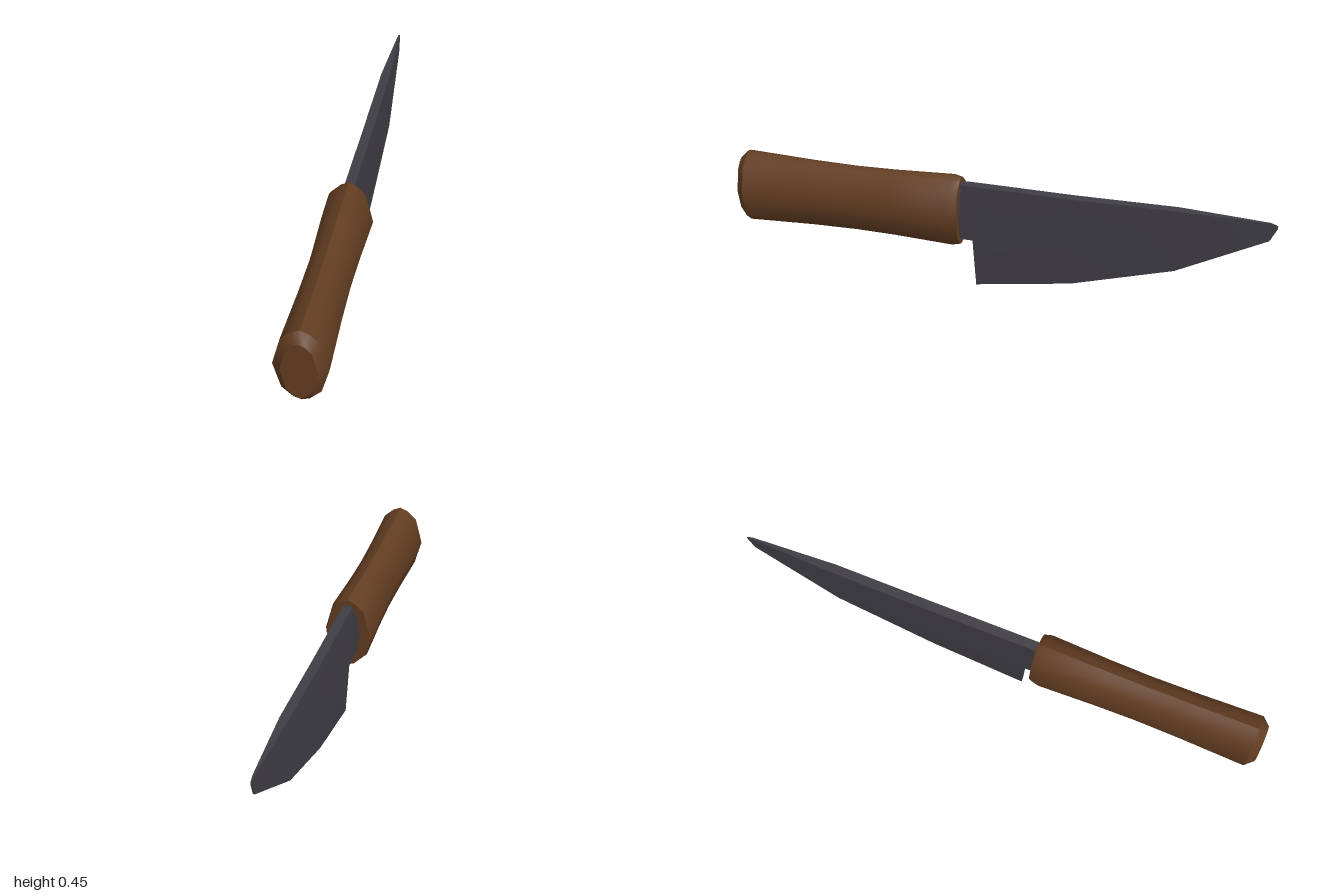
import * as THREE from 'three';
import { toCreasedNormals } from 'three/addons/utils/BufferGeometryUtils.js';

// Skin a series of closed rings (same point count), closing both ends
function loft(rings, crease) {
  const pos = [], idx = [], n = rings[0].length;
  rings.forEach(r => r.forEach(p => pos.push(...p)));
  for (let i = 0; i < rings.length - 1; i++) {
    for (let j = 0; j < n; j++) {
      const a = i * n + j, b = i * n + (j + 1) % n;
      idx.push(a, b, a + n, b, b + n, a + n);
    }
  }
  const last = (rings.length - 1) * n;
  for (let j = 1; j < n - 1; j++) {
    idx.push(0, j + 1, j);
    idx.push(last, last + j, last + j + 1);
  }
  const g = new THREE.BufferGeometry();
  g.setAttribute('position', new THREE.Float32BufferAttribute(pos, 3));
  g.setIndex(idx);
  return toCreasedNormals(g, crease);
}

export function createModel() {
  const group = new THREE.Group();
  const wood = new THREE.MeshStandardMaterial({ name: 'brown wood', color: 0x613c21 });
  const steel = new THREE.MeshStandardMaterial({ name: 'dark steel', color: 0x3f3d44 });
  const add = (name, geometry, material) => {
    const mesh = new THREE.Mesh(geometry, material);
    mesh.name = name;
    group.add(mesh);
  };

  // Handle section, counter-clockwise seen from +z, about its centre height
  const cy = 0.311;
  const half = [[0, -0.143], [0.027, -0.134], [0.066, -0.098], [0.093, -0.003],
    [0.066, 0.099], [0.03, 0.132], [0, 0.144]];
  const section = [...half, ...half.slice(1, -1).reverse().map(([x, y]) => [-x, y])];
  const ring = (z, sx, sy) => section.map(([x, y]) => [x * sx, cy + y * sy, z]);

  // Handle: waisted grip with bevelled ends
  add('handle', loft([
    ring(0.145, 0.9, 0.95), ring(0.175, 1, 1), ring(0.4, 0.91, 0.93),
    ring(0.55, 0.88, 0.91), ring(0.72, 0.91, 0.93), ring(0.97, 1, 1), ring(1, 0.67, 0.78),
  ], 0.65), wood);

  // Bolster: thin steel plate where the blade enters the handle
  add('bolster', loft([ring(0.142, 0.5, 0.8), ring(0.148, 0.5, 0.8)], 0.5), steel);

  // Blade stations from handle to tip: z, spine y, edge y, thickness factor
  const stations = [
    [0.2, 0.425, 0.2, 1], [0.1, 0.425, 0.2, 1], [0.09, 0.425, 0.005, 1],
    [-0.27, 0.421, 0.065, 1], [-0.65, 0.424, 0.18, 0.95],
    [-0.975, 0.413, 0.343, 0.2], [-1, 0.405, 0.394, 0.08],
  ];
  const thickness = y => Math.min(0.018, 0.0065 + y * 0.06);
  const bladeRings = stations.map(([z, top, bottom, f]) => {
    const mid = Math.max(0.21, bottom + 0.005);
    const right = [bottom, mid, top].map(y => [thickness(y) * f, y, z]);
    return [...right, ...right.map(([x, y]) => [-x, y, z]).reverse()];
  }).reverse(); // loft runs towards +z
  add('blade', loft(bladeRings, 0.3), steel);

  return group;
}
